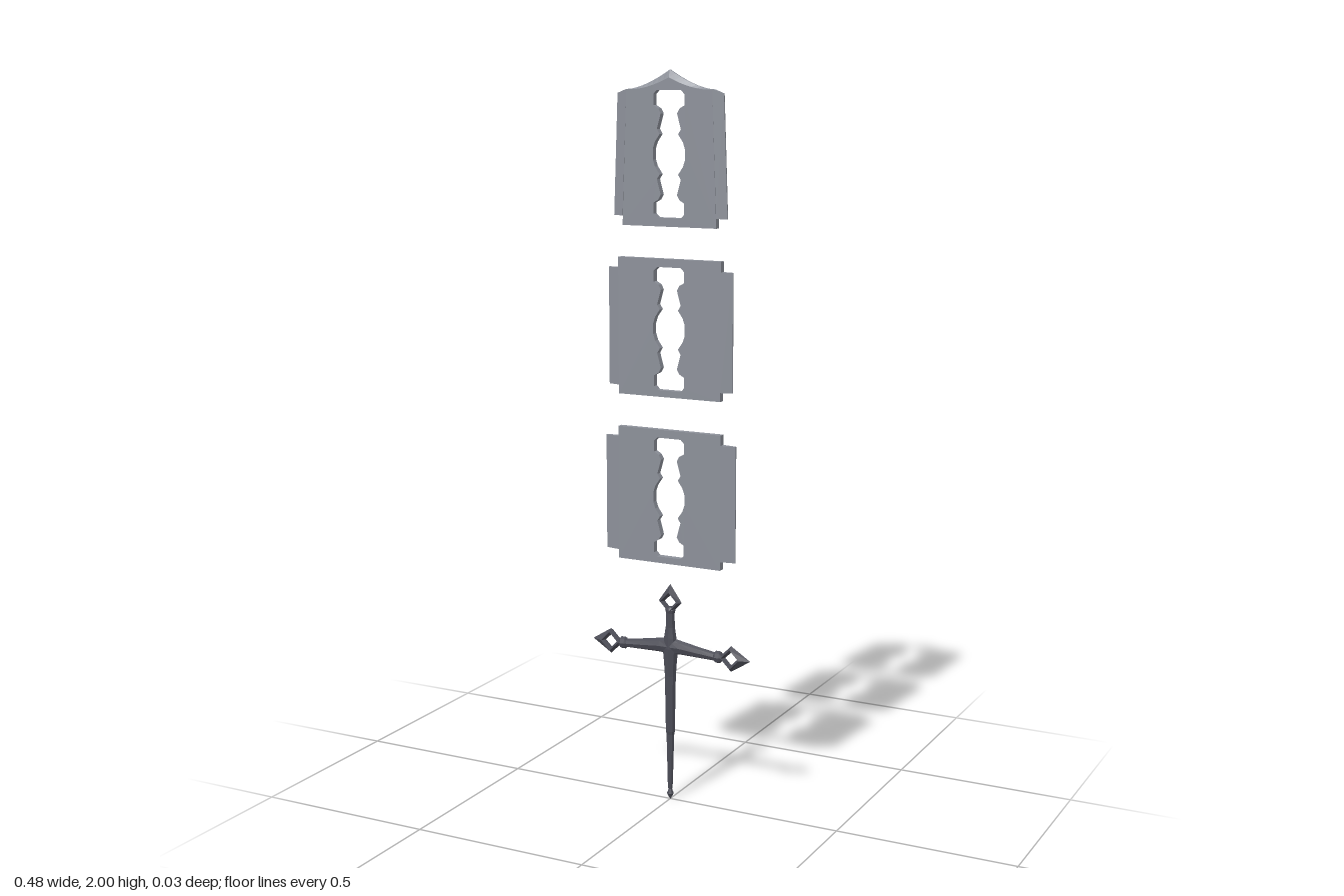
import * as THREE from 'three';

const steel = new THREE.MeshStandardMaterial({ color: 0x8c9099 });
steel.name = 'steel';
const iron = new THREE.MeshStandardMaterial({ color: 0x4b4c56 });
iron.name = 'dark iron';

const HALF = 0.009; // half thickness of a plate

// faceted mesh from any geometry
function part(name, geometry, material) {
  const g = geometry.index ? geometry.toNonIndexed() : geometry;
  g.computeVertexNormals();
  const mesh = new THREE.Mesh(g, material);
  mesh.name = name;
  return mesh;
}

// move every vertex of a geometry by a rule
function reshape(geometry, rule) {
  const p = geometry.attributes.position;
  const v = new THREE.Vector3();
  for (let i = 0; i < p.count; i++) {
    rule(v.fromBufferAttribute(p, i));
    p.setXYZ(i, v.x, v.y, v.z);
  }
  return geometry;
}

// right upper quarter of the slot, from the end to the middle
const SLOT = [[0.035, 0.165], [0.045, 0.155], [0.045, 0.126], [0.031, 0.118], [0.024, 0.105],
  [0.035, 0.065], [0.027, 0.052], [0.041, 0.032], [0.047, 0.014]];

function slotPath(cy) {
  const right = [...SLOT, ...SLOT.map(([x, y]) => [x, -y]).reverse()];
  const loop = [...right, ...right.map(([x, y]) => [-x, y]).reverse()];
  return new THREE.Path(loop.map(([x, y]) => new THREE.Vector2(x, cy + y)));
}

// slotted plate with a ground cutting edge on either side
// rightSide: outline from bottom to top; edge: inner and outer corners of the cutting edge
function plate(name, rightSide, slotY, edge) {
  const group = new THREE.Group();
  group.name = name;
  const left = rightSide.filter(([x]) => x > 0).map(([x, y]) => [-x, y]).reverse();
  const shape = new THREE.Shape([...rightSide, ...left].map(([x, y]) => new THREE.Vector2(x, y)));
  shape.holes.push(slotPath(slotY));
  const body = new THREE.ExtrudeGeometry(shape, { depth: HALF * 2, bevelEnabled: false });
  group.add(part('slottedPlate', body.translate(0, 0, -HALF), steel));

  for (const side of [-1, 1]) {
    const strip = reshape(new THREE.BoxGeometry(2, 2, 2), v => {
      const outer = v.x * side > 0;
      const [inB, outB, inT, outT] = edge;
      const [x, y] = v.y < 0 ? (outer ? outB : inB) : (outer ? outT : inT);
      v.set(x * side, y, v.z * (outer ? 0.002 : HALF));
    });
    group.add(part(side > 0 ? 'leftCuttingEdge' : 'rightCuttingEdge', strip, steel));
  }
  return group;
}

function squarePlate(name, y0, y1, inner, outer) {
  const a = y0 + 0.024, b = y1 - 0.028;
  return plate(name, [[inner, y0], [inner, y1]], (a + b) / 2,
    [[inner, a], [outer, a], [inner, b], [outer, b]]);
}

function pointedPlate() {
  const W = 0.125;
  const crest = x => 1.95 + 0.05 * Math.pow(Math.max(0, 1 - Math.abs(x) / W), 1.6);
  const base = x => crest(x) - 0.02 * (1 - Math.abs(x) / W);
  const top = [];
  for (let i = 8; i >= 0; i--) top.push([W * i / 8, base(W * i / 8)]);
  const group = plate('pointedPlate', [[0.138, 1.595], ...top], 1.783,
    [[0.138, 1.62], [0.167, 1.62], [W, 1.95], [0.155, 1.94]]);
  // thinned crest along the top
  const cap = reshape(new THREE.BoxGeometry(2 * W, 2, 2, 16, 1, 1), v => {
    const upper = v.y > 0;
    v.set(v.x, upper ? crest(v.x) : base(v.x), v.z * (upper ? 0.003 : HALF));
  });
  group.add(part('crest', cap, steel));
  return group;
}

// upright eight-sided bar; rows are [y, half width, half depth, shift in x]
function bar(name, rows) {
  const g = new THREE.CylinderGeometry(1, 1, rows.length - 1, 8, rows.length - 1);
  reshape(g, v => {
    const [y, w, d, shift = 0] = rows[Math.round(v.y + (rows.length - 1) / 2)];
    v.set(v.x * w + shift, y, v.z * d);
  });
  return part(name, g, iron);
}

// open diamond whose point is drawn out along +y
function diamond(name, w, back, tip, depth) {
  const g = reshape(new THREE.TorusGeometry(0.75, 0.25, 4, 4), v => {
    const outer = Math.abs(v.y) > 0.9;
    v.set(v.x * w, v.y * (outer && v.y > 0 ? tip : back), v.z * 4 * depth);
  });
  return part(name, g, iron);
}

function dagger() {
  const group = new THREE.Group();
  group.name = 'dagger';
  group.add(bar('spike', [[0.03, 0.006, 0.006], [0.05, 0.008, 0.007], [0.19, 0.012, 0.009],
    [0.2, 0.014, 0.011], [0.36, 0.017, 0.012], [0.4, 0.02, 0.014], [0.44, 0.024, 0.016],
    [0.47, 0.019, 0.014], [0.5, 0.014, 0.011], [0.54, 0.013, 0.01], [0.55, 0.016, 0.012],
    [0.557, 0.008, 0.009]]));
  group.add(bar('spikeTip', [[0, 0.001, 0.001], [0.016, 0.01, 0.009], [0.032, 0.004, 0.004]]));

  const pommel = diamond('pommelDiamond', 0.035, 0.036, 0.05, 0.012);
  pommel.position.y = 0.572;
  group.add(pommel);

  for (const side of [-1, 1]) {
    // built upright, then laid outwards
    const arm = new THREE.Group();
    arm.name = side > 0 ? 'leftArm' : 'rightArm';
    const up = x => x * -side;
    arm.add(bar('guard', [[0, 0.025, 0.015, up(0.01)], [0.03, 0.02, 0.014, up(0.01)],
      [0.08, 0.016, 0.012, up(0.005)], [0.135, 0.012, 0.01, 0], [0.14, 0.017, 0.013, 0],
      [0.152, 0.017, 0.013, 0], [0.16, 0.008, 0.009, 0]]));
    const end = diamond('guardDiamond', 0.036, 0.036, 0.057, 0.012);
    end.position.y = 0.185;
    arm.add(end);
    arm.position.y = 0.435;
    arm.rotation.z = -side * Math.PI / 2;
    group.add(arm);
  }
  return group;
}

export function createModel() {
  const model = new THREE.Group();
  model.name = 'segmentedBlade';
  model.add(
    dagger(),
    squarePlate('lowerPlate', 0.68, 1.05, 0.154, 0.195),
    squarePlate('middlePlate', 1.14, 1.51, 0.152, 0.184),
    pointedPlate(),
  );
  return model;
}
